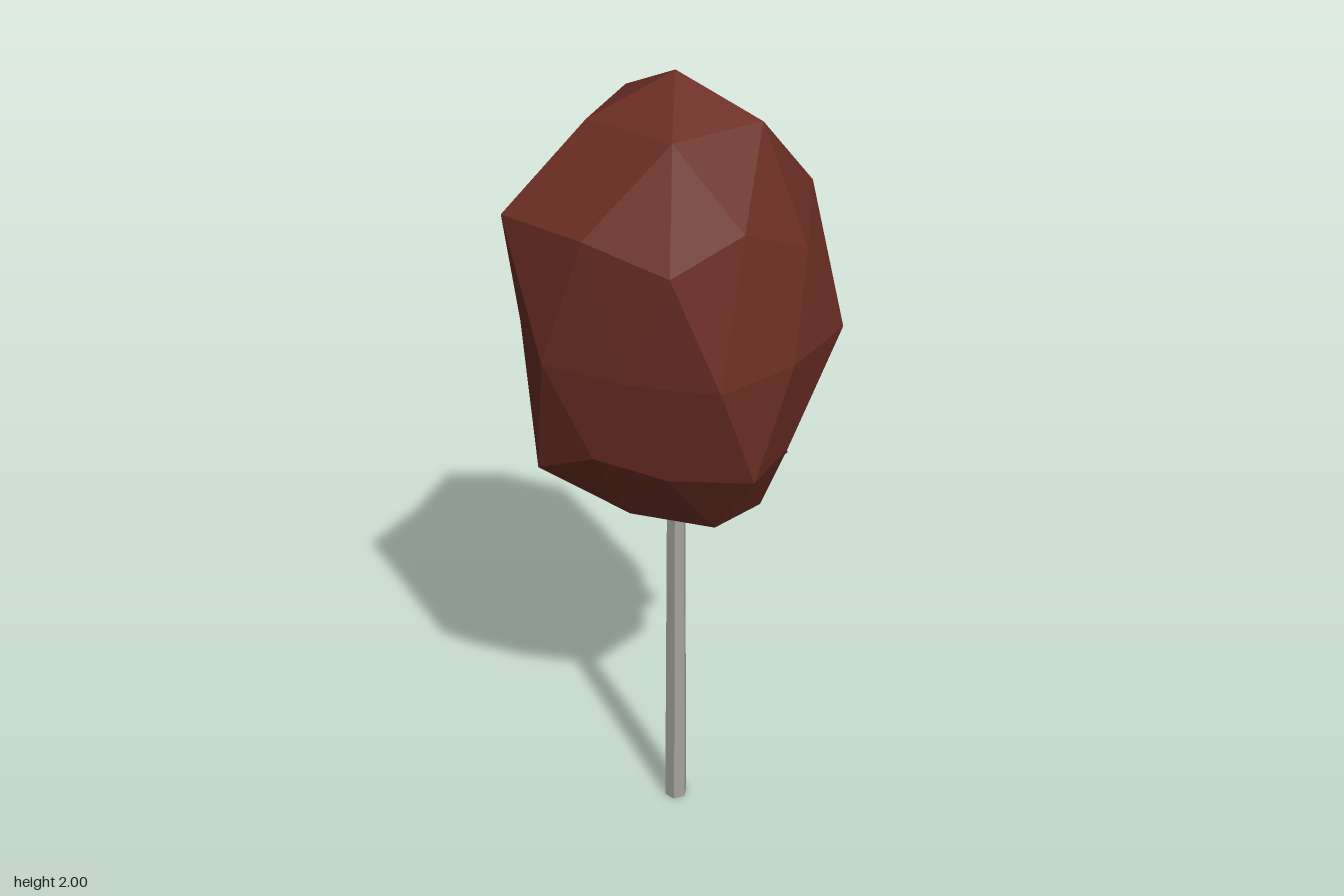
import * as THREE from 'three';

// Icosahedron with a vertex pointing up and another leaning to +x, stretched and centred;
// each move is [angle, height in unit sphere, target] for one sculpted corner.
function makeClump(detail, topRadius, lowRadius, height, centre, moves) {
  const geo = new THREE.IcosahedronGeometry(1, detail);
  geo.rotateZ(-Math.atan(2 / (1 + Math.sqrt(5))));
  const rules = moves.map(([deg, h, target]) => {
    const a = THREE.MathUtils.degToRad(deg);
    const r = Math.sqrt(Math.max(0, 1 - h * h));
    return { at: new THREE.Vector3(r * Math.cos(a), h, r * Math.sin(a)), target };
  });
  const pos = geo.attributes.position;
  const v = new THREE.Vector3();
  for (let i = 0; i < pos.count; i++) {
    v.fromBufferAttribute(pos, i);
    const rule = rules.find((m) => m.at.distanceTo(v) < 0.1);
    if (rule) {
      pos.setXYZ(i, ...rule.target);
    } else {
      const r = v.y > 0.1 ? topRadius : lowRadius;
      pos.setXYZ(i, centre[0] + v.x * r, centre[1] + v.y * height, centre[2] + v.z * r);
    }
  }
  geo.computeVertexNormals();
  return geo;
}

export function createModel() {
  const group = new THREE.Group();
  const foliage = new THREE.MeshStandardMaterial({ color: 0x6b2e24, flatShading: true });
  foliage.name = 'russet foliage';
  const bark = new THREE.MeshStandardMaterial({ color: 0xa3a39a, flatShading: true });
  bark.name = 'grey bark';

  const add = (name, geo, material) => {
    const mesh = new THREE.Mesh(geo, material);
    mesh.name = name;
    group.add(mesh);
    return mesh;
  };

  // Main crown; angles run from +x towards +z
  add('crown', makeClump(1, 0.376, 0.355, 0.6, [-0.01, 1.4, 0.015], [
    // upper part
    [0, 0.851, [0.16, 1.835, 0.015]],
    [72, 0.447, [0.08, 1.64, 0.31]],
    [-72, 0.447, [0.07, 1.65, -0.26]],
    [-144, 0.447, [-0.325, 1.715, -0.215]],
    [108, 0.526, [-0.1, 1.72, 0.27]],
    [-108, 0.526, [-0.1, 1.7, -0.255]],
    // middle
    [18, 0, [0.29, 1.4, 0.12]],
    [-18, 0, [0.29, 1.4, -0.1]],
    [54, 0, [0.215, 1.4, 0.325]],
    [90, 0, [-0.01, 1.4, 0.347]],
    [162, 0, [-0.308, 1.4, 0.115]],
    // lower part
    [-36, -0.447, [0.225, 1.15, -0.14]],
    [-108, -0.447, [-0.09, 1.15, -0.24]],
    [180, -0.447, [-0.31, 1.18, 0.015]],
    [72, -0.526, [0.075, 1.125, 0.28]],
    [-72, -0.526, [0.1, 1.09, -0.3]],
    [144, -0.526, [-0.23, 1.14, 0.165]],
    [-144, -0.526, [-0.29, 1.08, -0.17]],
    // underside
    [180, -0.851, [-0.18, 0.97, 0.015]],
    [108, -0.851, [-0.07, 0.94, 0.18]],
    [-108, -0.851, [-0.07, 1.0, -0.14]],
    [36, -0.851, [0.17, 0.87, 0.14]],
    [-36, -0.851, [0.12, 0.97, -0.07]],
    [0, -1, [0, 0.92, 0.015]],
  ]), foliage);

  // Small clump hanging from the lower left
  add('lowerClump', makeClump(0, 0.22, 0.22, 0.31, [0.13, 1.1, 0.02], [
    [0, 0.447, [0.32, 1.28, 0.02]],
    [72, 0.447, [0.2, 1.12, 0.165]],
    [-72, 0.447, [0.2, 1.13, -0.13]],
    [108, -0.447, [0.07, 0.97, 0.15]],
  ]), foliage);

  // Slender trunk reaching up into the crown
  const trunk = add('trunk', new THREE.CylinderGeometry(0.023, 0.03, 1.1, 6), bark);
  trunk.position.set(-0.008, 0.55, 0.017);

  return group;
}
